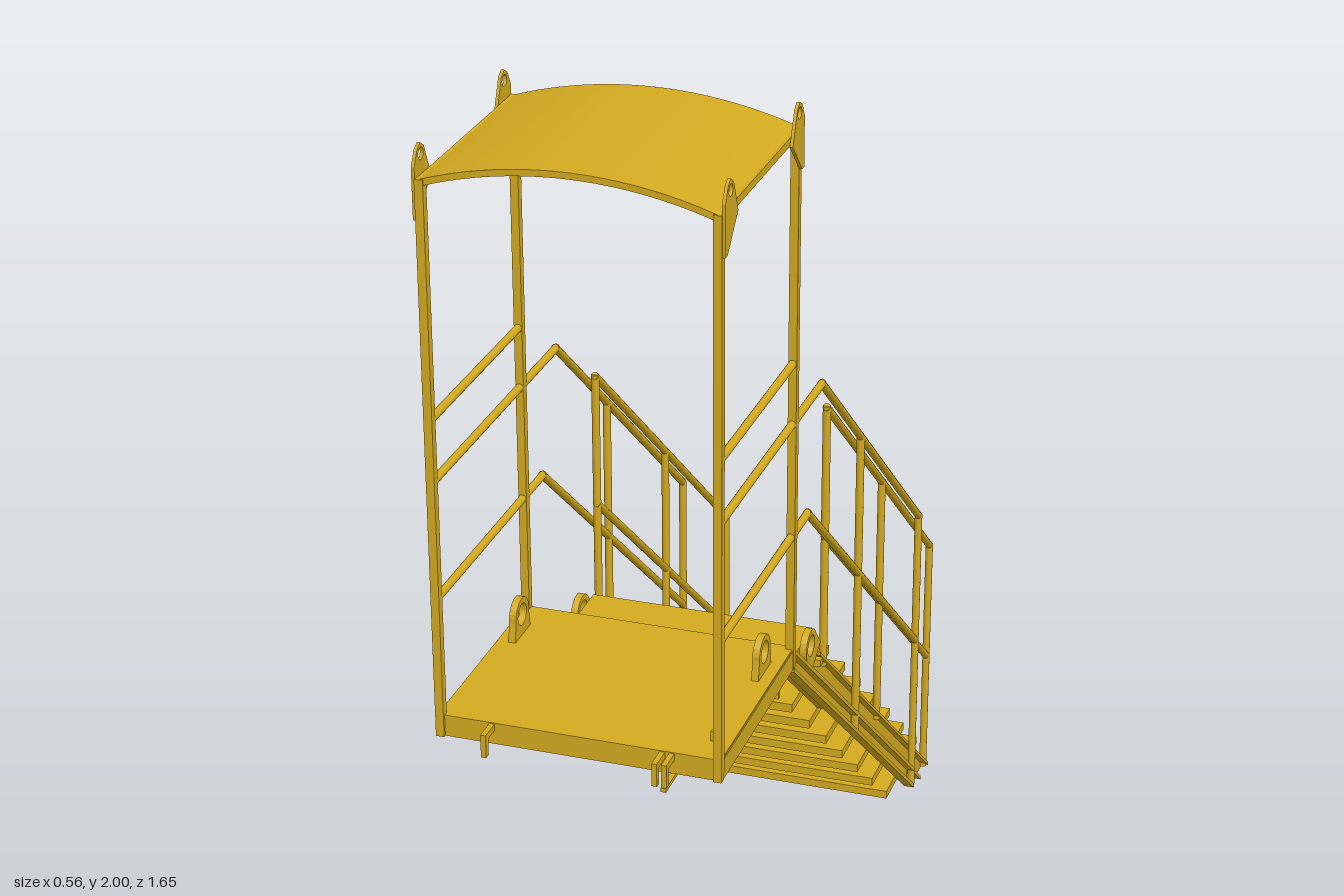
import * as THREE from 'three';

const SLOPE = 0.834;
const yellow = new THREE.MeshStandardMaterial({ color: 0xd4aa20, side: THREE.DoubleSide });
yellow.name = 'safety yellow';

export function createModel() {
  const model = new THREE.Group();
  model.name = 'accessStair';

  const add = (name, geometry, parent = model) => {
    const mesh = new THREE.Mesh(geometry, yellow);
    mesh.name = name;
    parent.add(mesh);
    return mesh;
  };
  // Box given by its limits
  const box = (name, x0, x1, y0, y1, z0, z1, parent) => {
    const g = new THREE.BoxGeometry(x1 - x0, y1 - y0, z1 - z0);
    g.translate((x0 + x1) / 2, (y0 + y1) / 2, (z0 + z1) / 2);
    return add(name, g, parent);
  };
  // Round tube through a list of [z, y] points at a fixed x
  const rail = (name, x, points, parent, r = 0.008) => {
    for (let i = 0; i + 1 < points.length; i++) {
      const a = new THREE.Vector3(x, points[i][1], points[i][0]);
      const b = new THREE.Vector3(x, points[i + 1][1], points[i + 1][0]);
      const d = b.clone().sub(a);
      const m = add(name, new THREE.CylinderGeometry(r, r, d.length() + r, 10), parent);
      m.position.copy(a).add(b).multiplyScalar(0.5);
      m.quaternion.setFromUnitVectors(new THREE.Vector3(0, 1, 0), d.normalize());
    }
  };
  // Upright plate with a [z, y] outline, centred on x, with an optional round hole
  const plate = (name, x, thick, points, parent, hole) => {
    const shape = new THREE.Shape(points.map(p => new THREE.Vector2(p[0], p[1])));
    if (hole) shape.holes.push(new THREE.Path().absarc(hole[0], hole[1], hole[2], 0, Math.PI * 2, true));
    const g = new THREE.ExtrudeGeometry(shape, { depth: thick, bevelEnabled: false, curveSegments: 16 });
    g.translate(0, 0, -thick / 2);
    g.rotateY(-Math.PI / 2);
    g.translate(x, 0, 0);
    return add(name, g, parent);
  };
  // Lifting lug outline: wide foot, round head with an eye
  const lug = (name, x, z, y, tilt, parent) => {
    const pts = [[-0.042, -0.055], [0.042, -0.055]];
    for (let i = 0; i <= 14; i++) {
      const a = -0.1 + (Math.PI + 0.2) * i / 14;
      pts.push([0.034 * Math.cos(a), 0.034 * Math.sin(a)]);
    }
    const c = Math.cos(tilt), s = Math.sin(tilt);
    plate(name, x, 0.014, pts.map(([u, v]) => [z + u * c - v * s, y + u * s + v * c]), parent, [z, y, 0.022]);
  };
  // Sloping line, and a sloping bar between two heights above that line
  const at = (z, c) => c + SLOPE * z;
  const slopeBar = (name, x, thick, z0, z1, c0, c1, parent) =>
    plate(name, x, thick, [[z0, at(z0, c0)], [z1, at(z1, c0)], [z1, at(z1, c1)], [z0, at(z0, c1)]], parent);

  // Platform deck with edge frame and joists
  const platform = new THREE.Group();
  platform.name = 'platform';
  model.add(platform);
  box('deck', -0.27, 0.27, 0.9, 0.91, 0.335, 0.78, platform);
  for (const z of [0.335, 0.765]) box('endBeam', -0.27, 0.27, 0.867, 0.905, z, z + 0.015, platform);
  for (const z of [0.47, 0.62]) box('joist', -0.25, 0.25, 0.872, 0.902, z, z + 0.02, platform);
  box('riser', -0.24, 0.24, 0.79, 0.9, 0.323, 0.333, platform);

  // Front hooks and locking pin
  for (const x of [-0.165, 0.16, 0.178]) {
    box('hookArm', x - 0.005, x + 0.005, 0.895, 0.908, 0.78, 0.82, platform);
    box('hookTip', x - 0.005, x + 0.005, 0.862, 0.908, 0.812, 0.825, platform);
  }
  box('pinBar', 0.17, 0.25, 0.853, 0.861, 0.705, 0.72, platform);
  box('pinSlide', 0.172, 0.182, 0.853, 0.861, 0.65, 0.825, platform);
  box('pinHandle', 0.231, 0.239, 0.84, 0.93, 0.711, 0.719, platform);

  // Curved roof sheet
  const half = 0.27, rise = 0.045, R = (half * half + rise * rise) / (2 * rise);
  const ang = Math.asin(half / R), cy = 1.988 - R;
  const roofShape = new THREE.Shape();
  roofShape.absarc(0, cy, R, Math.PI / 2 - ang, Math.PI / 2 + ang, false);
  roofShape.absarc(0, cy, R - 0.012, Math.PI / 2 + ang, Math.PI / 2 - ang, true);
  const roof = new THREE.ExtrudeGeometry(roofShape, { depth: 0.45, bevelEnabled: false, curveSegments: 32 });
  roof.translate(0, 0, 0.333);
  add('roof', roof);

  for (const s of [-1, 1]) {
    const side = new THREE.Group();
    side.name = s > 0 ? 'leftSide' : 'rightSide';
    model.add(side);
    const xo = s * 0.265, xi = s * 0.236;

    // Platform side beam, canopy posts and eave bar
    box('sideBeam', xo - 0.007, xo + 0.007, 0.867, 0.907, 0.335, 0.78, side);
    box('innerBeam', xi - 0.007, xi + 0.007, 0.867, 0.902, 0.335, 0.78, side);
    for (const z of [0.34, 0.778])
      box('canopyPost', xo - 0.008, xo + 0.008, 0.867, 1.945, z - 0.008, z + 0.008, side);
    box('eaveBar', xo - 0.006, xo + 0.006, 1.93, 1.945, 0.34, 0.778, side);

    // Corner gussets with lifting eyes
    for (const [z, d] of [[0.784, -1], [0.333, 1]])
      plate('roofLug', s * 0.275, 0.006, [[z, 1.87], [z + d * 0.012, 1.87], [z + d * 0.07, 1.93],
        [z + d * 0.058, 1.96], [z + d * 0.045, 1.99], [z + d * 0.03, 2], [z + d * 0.015, 1.992], [z, 1.965]],
      side, [z + d * 0.03, 1.98, 0.011]);

    // Upper stair: outer channel stringer
    slopeBar('upperWeb', s * 0.253, 0.006, -0.6, 0.335, 0.575, 0.626, side);
    slopeBar('upperFlangeTop', s * 0.261, 0.022, -0.6, 0.335, 0.616, 0.626, side);
    slopeBar('upperFlangeBottom', s * 0.261, 0.022, -0.6, 0.335, 0.575, 0.585, side);
    slopeBar('treadBearer', xi, 0.02, 0.02, 0.335, 0.585, 0.626, side);

    // Upper stair: guard rails and posts
    const zEnd = -0.6;
    rail('upperHandrail', xo, [[0.778, 1.375], [0.155, 1.375], [zEnd, 1.375 + SLOPE * (zEnd - 0.155)]], side);
    rail('upperMidRail', xo, [[0.778, 1.145], [0.24, 1.145], [zEnd, 1.145 + SLOPE * (zEnd - 0.24)]], side);
    rail('platformTopRail', xo, [[0.778, 1.495], [0.34, 1.495]], side);
    for (const z of [-0.125, zEnd])
      rail('upperRailPost', xo, [[z, at(z, 0.59)], [z, at(z, 1.245)]], side);

    // Lower stair: sliding inner channel stringer cut level at the foot
    const lower = (name, x, t, c0, c1) => plate(name, x, t,
      [[Math.max(-c0 / SLOPE, -0.825), Math.max(0, at(-0.825, c0))], [0.105, at(0.105, c0)], [0.075, at(0.075, c1)],
        [-0.825, at(-0.825, c1)], [-0.825, 0]], side);
    lower('lowerWeb', s * 0.229, 0.006, 0.634, 0.698);
    slopeBar('lowerFlangeTop', xi + s * 0.001, 0.02, -0.825, 0.075, 0.69, 0.698, side);
    slopeBar('lowerFlangeBottom', xi + s * 0.001, 0.02, -0.758, 0.1, 0.634, 0.643, side);

    // Lower stair: guard rails and posts
    rail('lowerHandrail', xi, [[0.018, 1.262], [-0.817, 0.566]], side);
    rail('lowerMidRail', xi, [[0.018, 0.985], [-0.817, 0.289]], side);
    for (const z of [0.018, -0.4, -0.817])
      rail('lowerRailPost', xi, [[z, Math.max(0.008, at(z, 0.69))], [z, at(z, 1.247)]], side);

    // Lifting lugs on the deck edge and at the head of the lower stringer
    lug('deckLug', s * 0.24, 0.445, 0.952, 0, side);
    lug('stairLug', xi, 0.126, 0.8, -0.62 + 0.05, side);
    box('stairLugBolt', xi - 0.016, xi + 0.016, 0.735, 0.75, 0.075, 0.09, side);
  }

  // Treads
  for (let i = 0; i < 8; i++) {
    const z = 0.325 - 0.1223 * i, y = 0.8 - 0.102 * i;
    box('tread', -0.228, 0.228, y - 0.009, y + 0.009, z - 0.255, z);
  }
  return model;
}
